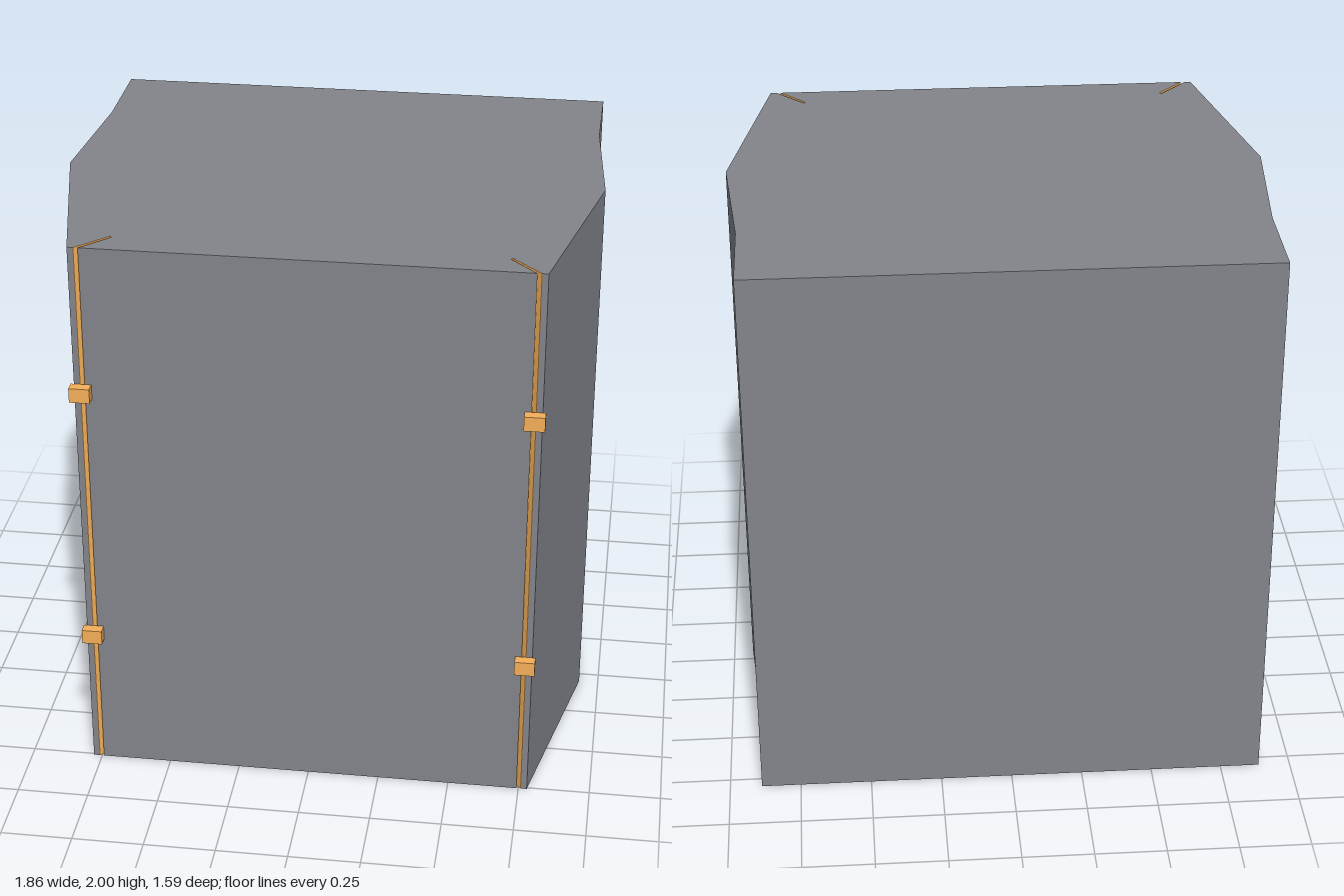
import * as THREE from 'three';

const HEIGHT = 2;
const FRONT = 0.757;

// Extrude a plan outline of [x, z] points upwards from the ground
function extrudePlan(points) {
  const shape = new THREE.Shape(points.map(([x, z]) => new THREE.Vector2(x, -z)));
  const geometry = new THREE.ExtrudeGeometry(shape, { depth: HEIGHT, bevelEnabled: false });
  return geometry.rotateX(-Math.PI / 2);
}

const mirror = (points) => points.map(([x, z]) => [-x, z]).reverse();

export function createModel() {
  const model = new THREE.Group();
  const grey = new THREE.MeshStandardMaterial({ color: 0x83858b, flatShading: true });
  const orange = new THREE.MeshStandardMaterial({ color: 0xf6b05a, flatShading: true });

  const add = (name, geometry, material) => {
    const mesh = new THREE.Mesh(geometry, material);
    mesh.name = name;
    model.add(mesh);
    return mesh;
  };

  // Cabinet body: bulging sides, with a diagonal slot cut into each front corner
  const slot = [[0.76, FRONT], [0.659, 0.651], [0.651, 0.659], [0.742, FRONT]];
  const half = [[0.888, -0.793], [0.888, -0.45], [0.93, 0.05], [0.78, FRONT], ...slot];
  add('body', extrudePlan([...half, ...mirror(half)]), grey);

  // Thin coloured lining along the slot walls
  const inner = [[0.7435, FRONT], [0.6522, 0.6588], [0.6588, 0.6522], [0.7585, FRONT]];
  const lining = [...slot, ...inner];
  add('leftSlotLining', extrudePlan(lining), orange);
  add('rightSlotLining', extrudePlan(mirror(lining)), orange);

  // Small clips bridging the slots
  for (const [side, sign] of [['left', 1], ['right', -1]]) {
    for (const [level, y] of [['Lower', 0.527], ['Upper', 1.477]]) {
      const clip = add(`${side}${level}Clip`, new THREE.BoxGeometry(0.07, 0.052, 0.037), orange);
      clip.position.set(sign * 0.756, y, FRONT + 0.0185);
    }
  }
  return model;
}
